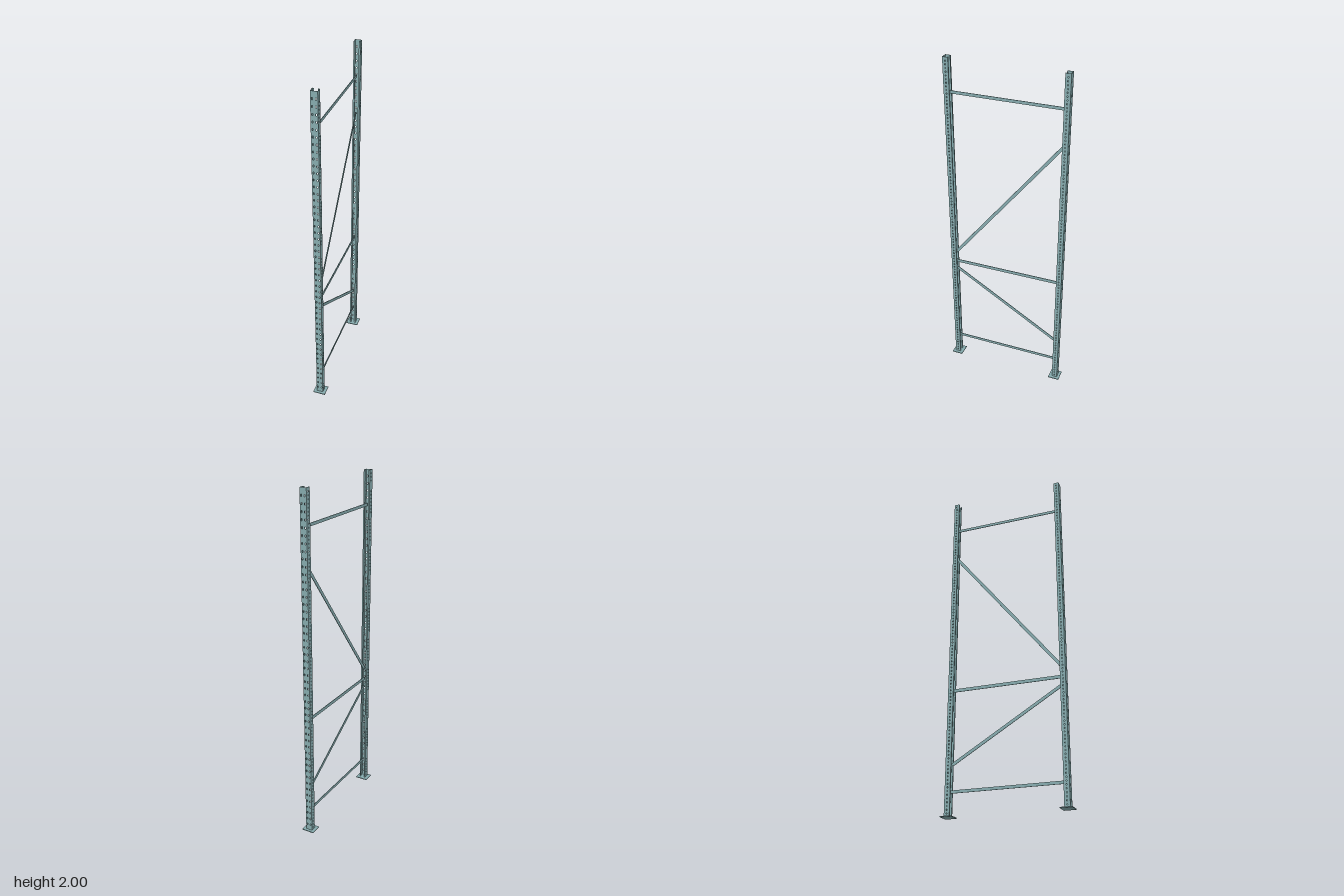
import * as THREE from 'three';

const H = 2, T = 0.0025;        // post height, sheet thickness
const HALF_W = 0.0195;          // half width of a post
const Z_OUT = 0.349, Z_IN = 0.317; // outer and inner face of a post

// Upright sheet with columns of rectangular holes, centred on x, rising from y = 0
function perforatedSheet(width, columns, pitch, hw, hh) {
  const s = new THREE.Shape();
  s.moveTo(-width / 2, 0);
  s.lineTo(width / 2, 0);
  s.lineTo(width / 2, H);
  s.lineTo(-width / 2, H);
  s.closePath();
  for (const x of columns) {
    for (let y = pitch; y < H - pitch / 4; y += pitch) {
      const h = new THREE.Path();
      h.moveTo(x - hw, y - hh);
      h.lineTo(x - hw, y + hh);
      h.lineTo(x + hw, y + hh);
      h.lineTo(x + hw, y - hh);
      h.closePath();
      s.holes.push(h);
    }
  }
  const g = new THREE.ExtrudeGeometry(s, { depth: T, bevelEnabled: false });
  return g.translate(0, 0, -T / 2);
}

export function createModel() {
  const steel = new THREE.MeshStandardMaterial({ color: 0x86abae });
  steel.name = 'paintedSteel';
  const model = new THREE.Group();
  model.name = 'uprightFrame';

  const add = (parent, name, geo, x, y, z) => {
    const m = new THREE.Mesh(geo, steel);
    m.name = name;
    m.position.set(x, y, z);
    parent.add(m);
    return m;
  };

  // Lipped channel posts, open toward each other, on base plates
  const depth = Z_OUT - Z_IN;
  const webGeo = perforatedSheet(HALF_W * 2, [-0.01, 0.01], 0.04, 0.003, 0.0055);
  const flangeGeo = perforatedSheet(depth - T * 2, [0], 0.02, 0.0025, 0.0035).rotateY(Math.PI / 2);
  const lipGeo = new THREE.BoxGeometry(0.009, H, T);
  const plateGeo = new THREE.BoxGeometry(0.075, 0.005, 0.067);

  for (const front of [true, false]) {
    const post = new THREE.Group();
    post.name = front ? 'frontPost' : 'backPost';
    add(post, 'web', webGeo, 0, 0, Z_OUT - T / 2);
    for (const s of [-1, 1]) {
      add(post, 'flange', flangeGeo, s * (HALF_W - T / 2), 0, (Z_OUT + Z_IN) / 2);
      add(post, 'lip', lipGeo, s * (HALF_W - 0.0045), H / 2, Z_IN + T / 2);
    }
    add(post, 'basePlate', plateGeo, 0, 0.0025, 0.3315);
    if (!front) post.rotation.y = Math.PI;
    model.add(post);
  }

  // Flat bracing bars: name, front z and y, back z and y, bar height
  const braces = [
    ['bottomBrace', 0.325, 0.137, -0.325, 0.137, 0.017],
    ['lowerDiagonal', 0.32, 0.67, -0.318, 0.285, 0.018],
    ['middleBrace', 0.325, 0.72, -0.325, 0.72, 0.019],
    ['upperDiagonal', 0.32, 0.787, -0.316, 1.587, 0.018],
    ['topBrace', 0.325, 1.805, -0.325, 1.805, 0.017],
  ];
  for (const [name, z1, y1, z2, y2, h] of braces) {
    const geo = new THREE.BoxGeometry(0.0035, h, Math.hypot(z1 - z2, y1 - y2));
    const bar = add(model, name, geo, 0, (y1 + y2) / 2, (z1 + z2) / 2);
    bar.rotation.x = Math.atan2(y2 - y1, z1 - z2);
  }
  return model;
}
